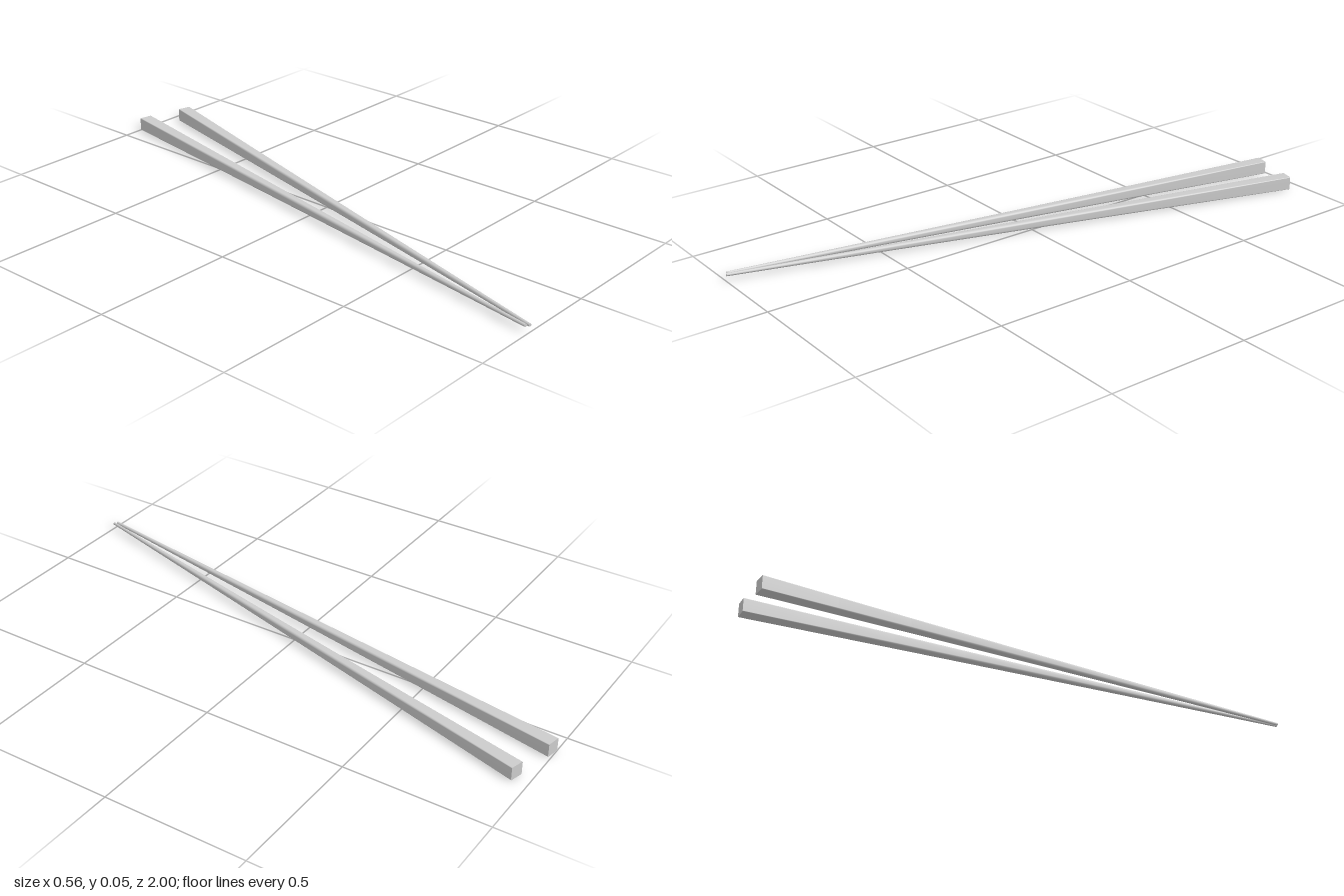
import * as THREE from 'three';

const CORNER_STEPS = 4; // points per rounded corner
const RINGS = 8;
const TIP_HALF = 0.005, BACK_HALF = 0.0235;
const TIP_Y = 0.0215, BACK_Y = 0.0235;

// Rounded-square outline, counter-clockwise seen from +z; round = 1 gives a circle
function section(half, round) {
  const points = [];
  const r = half * round, c = half - r;
  for (let q = 0; q < 4; q++) {
    const mid = Math.PI / 4 + q * Math.PI / 2;
    const cx = c * Math.sign(Math.cos(mid)), cy = c * Math.sign(Math.sin(mid));
    for (let i = 0; i < CORNER_STEPS; i++) {
      const a = (q + i / (CORNER_STEPS - 1) * 0.98 + 0.01) * Math.PI / 2;
      points.push([cx + r * Math.cos(a), cy + r * Math.sin(a)]);
    }
  }
  return points;
}

// Tapering stick from a round tip at z = 0 to a square end at z = -length
function stickGeometry(length) {
  const pos = [], index = [], n = CORNER_STEPS * 4;
  const addRing = (t) => {
    const y0 = THREE.MathUtils.lerp(TIP_Y, BACK_Y, t);
    const half = THREE.MathUtils.lerp(TIP_HALF, BACK_HALF, t);
    for (const [x, y] of section(half, THREE.MathUtils.lerp(1, 0.1, t))) {
      pos.push(x, y + y0, -length * t);
    }
    return y0;
  };

  // long sides
  for (let j = 0; j <= RINGS; j++) addRing(j / RINGS);
  for (let j = 0; j < RINGS; j++) {
    for (let i = 0; i < n; i++) {
      const a = j * n + i, b = j * n + (i + 1) % n;
      index.push(a, a + n, b, b, a + n, b + n);
    }
  }

  // flat end caps with their own vertices, so their rims stay sharp
  for (const t of [0, 1]) {
    const start = pos.length / 3;
    const y0 = addRing(t);
    pos.push(0, y0, -length * t);
    for (let i = 0; i < n; i++) {
      const a = start + i, b = start + (i + 1) % n;
      if (t === 0) index.push(start + n, a, b);
      else index.push(start + n, b, a);
    }
  }

  const geometry = new THREE.BufferGeometry();
  geometry.setAttribute('position', new THREE.Float32BufferAttribute(pos, 3));
  geometry.setIndex(index);
  geometry.computeVertexNormals();
  return geometry;
}

export function createModel() {
  const model = new THREE.Group();
  model.name = 'chopsticks';
  const material = new THREE.MeshStandardMaterial({ color: 0xcccccc });

  // tip and back end centres of each stick as [x, z]
  const sticks = [
    { name: 'rightChopstick', tip: [-0.278, 0.99], back: [0.096, -0.9955] },
    { name: 'leftChopstick', tip: [-0.268, 0.998], back: [0.259, -0.955] },
  ];
  for (const { name, tip, back } of sticks) {
    const dx = back[0] - tip[0], dz = tip[1] - back[1];
    const stick = new THREE.Mesh(stickGeometry(Math.hypot(dx, dz)), material);
    stick.name = name;
    stick.position.set(tip[0], 0, tip[1]);
    stick.rotation.y = -Math.atan2(dx, dz);
    model.add(stick);
  }
  return model;
}
